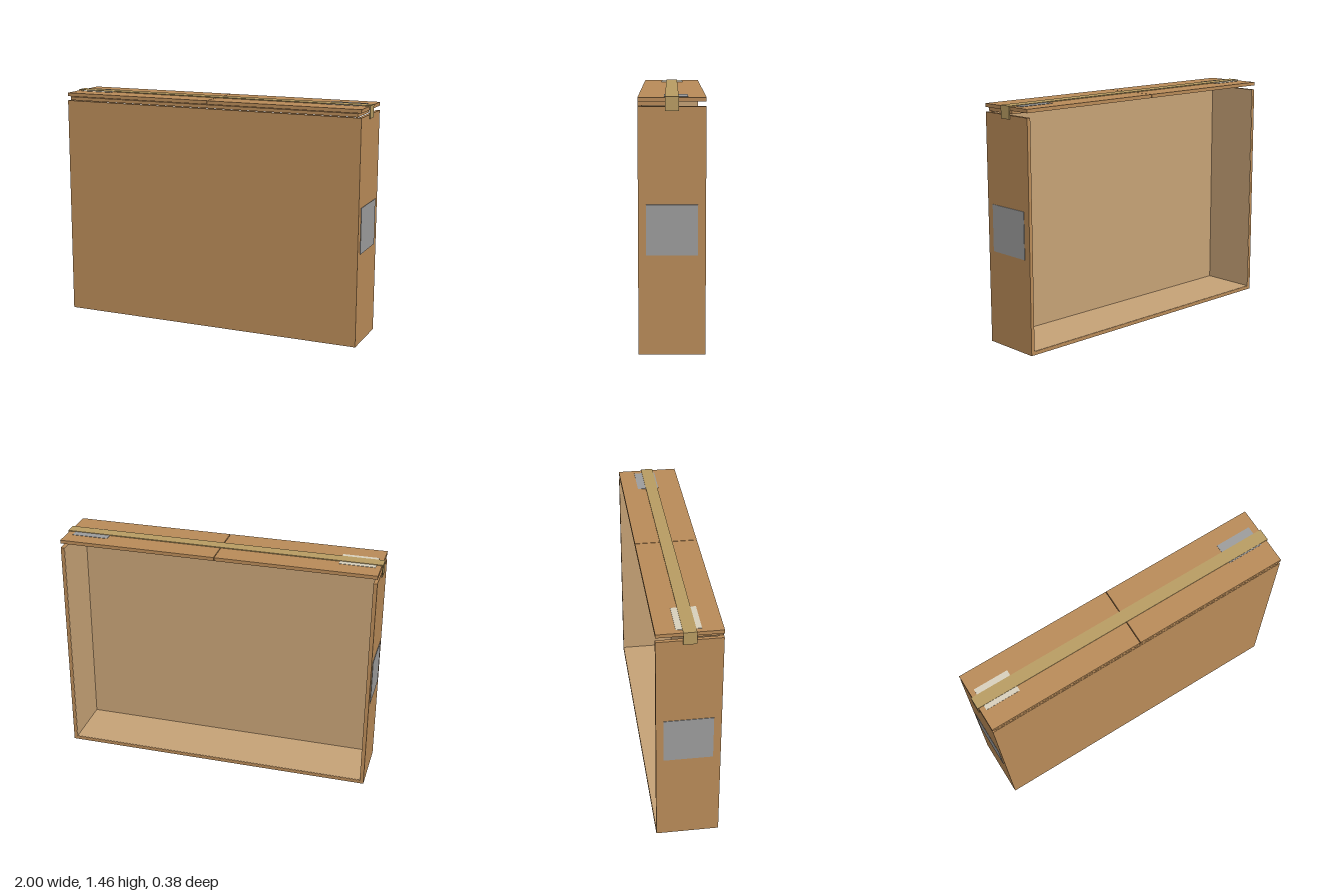
import * as THREE from 'three';

const material = (color) => new THREE.MeshStandardMaterial({ color });

export function createModel() {
  const model = new THREE.Group();
  const card = material(0xb98b58);
  const lining = material(0xc6a276);
  const tape = material(0xb89c62);
  const grey = material(0x9c9c9c);
  const cream = material(0xd8d0bc);

  // Box given by its lower and upper limits on each axis
  const slab = (name, mat, [x0, x1], [y0, y1], [z0, z1]) => {
    const mesh = new THREE.Mesh(new THREE.BoxGeometry(x1 - x0, y1 - y0, z1 - z0), mat);
    mesh.position.set((x0 + x1) / 2, (y0 + y1) / 2, (z0 + z1) / 2);
    mesh.name = name;
    model.add(mesh);
  };
  // The same box on the left (+x) and right (-x)
  const pair = (name, mat, [x0, x1], y, z) => {
    slab(name + 'Left', mat, [x0, x1], y, z);
    slab(name + 'Right', mat, [-x1, -x0], y, z);
  };

  const W = 0.992, D = 0.19, H = 1.408, T = 0.022, L = 0.002;
  const inner = W - T;

  // Carton shell, open at the back
  slab('bottomPanel', card, [-W, W], [0, T], [-D, D]);
  slab('frontPanel', card, [-W, W], [T, H], [D - T, D]);
  pair('sidePanel', card, [inner, W], [T, H], [-D, D - T]);

  // Paler lining on the inside faces
  slab('bottomLining', lining, [-inner, inner], [T, T + L], [-D + L, D - T]);
  slab('frontLining', lining, [-inner, inner], [T + L, H - L], [D - T - L, D - T]);
  pair('sideLining', lining, [inner - L, inner], [T + L, H - L], [-D + L, D - T - L]);

  // Top closure: one long inner flap under two outer flaps meeting in the middle
  slab('innerFlap', card, [-inner, inner], [1.412, 1.433], [-0.028, D]);
  pair('outerFlap', card, [0.002, W], [1.436, 1.458], [-D, D]);

  // Labels on the top and the sides
  slab('creamLabel', cream, [-0.96, -0.74], [1.458, 1.46], [-0.075, 0.07]);
  slab('greyLabel', grey, [0.72, 0.95], [1.458, 1.46], [-0.09, 0.045]);
  pair('sideLabel', grey, [W, W + 0.003], [0.575, 0.862], [-0.145, 0.145]);

  // Sealing tape along the top, folded down at both ends
  slab('tapeStrip', tape, [-1, 1], [1.458, 1.463], [-0.038, 0.038]);
  pair('tapeEnd', tape, [W + 0.002, 1], [1.385, 1.458], [-0.038, 0.038]);

  return model;
}
